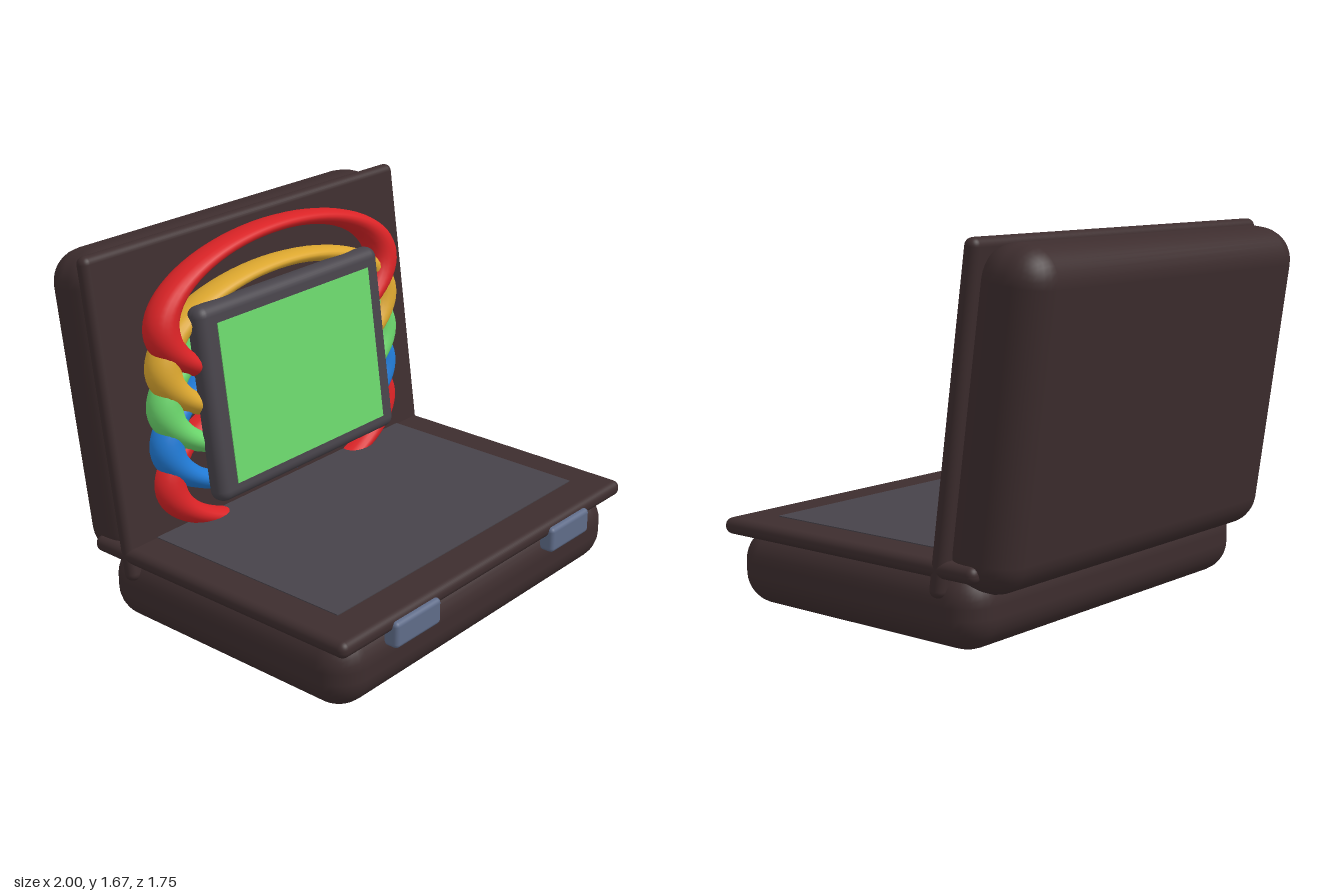
import * as THREE from 'three';
import { RoundedBoxGeometry } from 'three/addons/geometries/RoundedBoxGeometry.js';

function material(name, color) {
  const m = new THREE.MeshStandardMaterial({ color });
  m.name = name;
  return m;
}

export function createModel() {
  const model = new THREE.Group();
  model.name = 'openCase';

  const brown = material('dark brown', 0x3d2d2e);
  const grey = material('charcoal grey', 0x47434a);
  const red = material('red', 0xda2326);
  const yellow = material('yellow', 0xdca72f);
  const green = material('green', 0x6bd66c);
  const blue = material('blue', 0x217bd6);
  const steel = material('steel blue', 0x5f6c89);

  const TILT = -THREE.MathUtils.degToRad(8);

  function add(parent, name, geometry, mat, x, y, z) {
    const mesh = new THREE.Mesh(geometry, mat);
    mesh.name = name;
    mesh.position.set(x, y, z);
    parent.add(mesh);
    return mesh;
  }
  const rounded = (w, h, d, r, seg = 4) => new RoundedBoxGeometry(w, h, d, seg, r);

  // Lower half: soft shell, thin rim and inset panel
  const base = new THREE.Group();
  base.name = 'base';
  model.add(base);
  add(base, 'baseShell', rounded(1.945, 0.35, 1.395, 0.15), brown, 0, 0.175, 0.128);
  add(base, 'baseRim', rounded(2, 0.073, 1.45, 0.034), brown, 0, 0.3535, 0.128);
  add(base, 'basePanel', new THREE.BoxGeometry(1.66, 0.008, 1.095), grey, 0, 0.39, 0.128);

  // Two latches on the front edge
  for (const side of [-1, 1]) {
    add(base, side > 0 ? 'leftLatch' : 'rightLatch',
      rounded(0.295, 0.12, 0.076, 0.02, 3), steel, side * 0.55, 0.305, 0.838);
  }

  // Upper half, leaning back
  const lid = new THREE.Group();
  lid.name = 'lid';
  lid.position.set(0, 0.951, -0.484);
  lid.rotation.x = TILT;
  model.add(lid);
  add(lid, 'lidRim', rounded(2, 1.45, 0.07, 0.034), brown, 0, 0, 0);
  add(lid, 'lidShell', rounded(1.945, 1.4, 0.34, 0.15), brown, 0, 0.02, -0.145);

  // Stack of flattened rings, each leaning back
  const ringGeometry = new THREE.TorusGeometry(0.725, 0.08, 20, 72);
  ringGeometry.scale(1, 0.42, 1);
  [red, yellow, green, blue, red].forEach((mat, i) => {
    const ring = add(model, 'ring' + (i + 1), ringGeometry, mat, 0, 1.31 - i * 0.178, -0.4);
    ring.rotation.x = TILT;
  });

  // Display in front of the rings
  const display = new THREE.Group();
  display.name = 'display';
  display.position.set(0, 0.953, -0.296);
  display.rotation.x = TILT;
  model.add(display);
  add(display, 'displayFrame', rounded(1.19, 0.89, 0.11, 0.05), grey, 0, 0, 0);
  add(display, 'displayScreen', new THREE.BoxGeometry(1.0, 0.732, 0.008), green, 0, -0.006, 0.055);

  return model;
}
